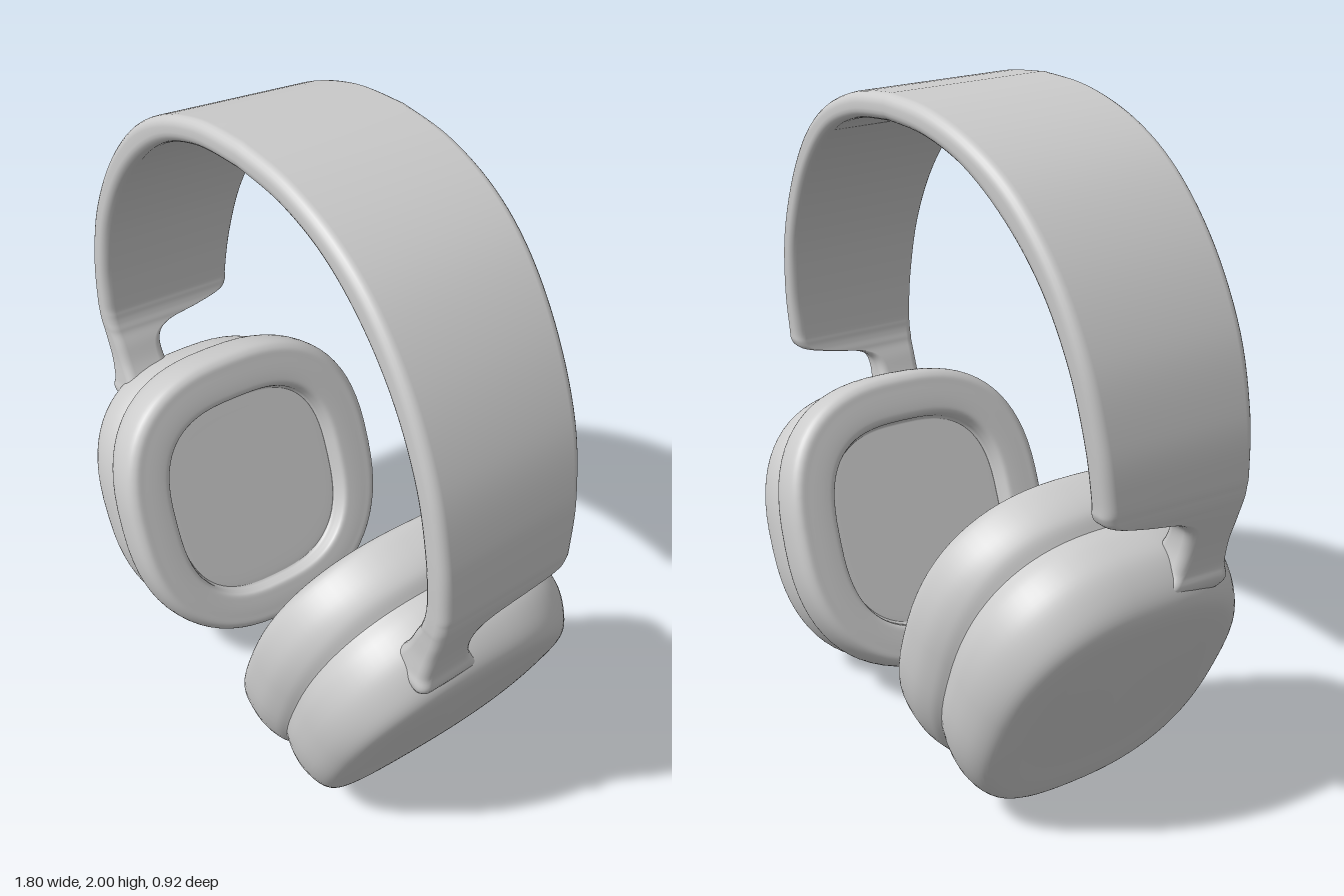
import * as THREE from 'three';

// Catmull-Rom interpolation through rows of numbers
function smoothRows(rows, steps) {
  const out = [], last = rows.length - 1;
  const row = (i) => rows[Math.min(last, Math.max(0, i))];
  for (let i = 0; i < last; i++) {
    for (let s = 0; s < steps; s++) {
      const t = s / steps;
      out.push(rows[i].map((b, k) => {
        const a = row(i - 1)[k], c = row(i + 1)[k], d = row(i + 2)[k];
        return b + 0.5 * t * (c - a + t * (2 * a - 5 * b + 4 * c - d + t * (3 * (b - c) + d - a)));
      }));
    }
  }
  out.push(rows[last]);
  return out;
}

// Skin a list of closed rings
function loft(rings, name) {
  const n = rings[0].length, index = [];
  for (let i = 0; i < rings.length - 1; i++) {
    for (let j = 0; j < n; j++) {
      const k = (j + 1) % n;
      const a = i * n + j, b = i * n + k, c = b + n, d = a + n;
      index.push(a, b, c, a, c, d);
    }
  }
  const geometry = new THREE.BufferGeometry();
  geometry.setAttribute('position', new THREE.Float32BufferAttribute(rings.flat(2), 3));
  geometry.setIndex(index);
  geometry.computeVertexNormals();
  const mesh = new THREE.Mesh(geometry, new THREE.MeshStandardMaterial({ color: 0xcccccc }));
  mesh.name = name;
  return mesh;
}

// Rings as: top x, top y, bottom x, bottom y, half width in z, squareness
const SHELL = [
  [0.687, 0.385, 0.687, 0.385, 0, 2.8],
  [0.794, 0.610, 0.580, 0.165, 0.23, 2.8],
  [0.834, 0.700, 0.532, 0.065, 0.325, 2.8],
  [0.842, 0.755, 0.498, 0.016, 0.375, 2.7],
  [0.818, 0.815, 0.455, 0.000, 0.407, 2.6],
  [0.770, 0.870, 0.405, 0.012, 0.425, 2.6],
  [0.700, 0.902, 0.367, 0.040, 0.428, 2.6],
  [0.645, 0.910, 0.335, 0.060, 0.418, 2.6],
];
const CUSHION = [
  [0.645, 0.910, 0.335, 0.060, 0.418, 2.6],
  [0.620, 0.950, 0.310, 0.053, 0.440, 2.6],
  [0.570, 0.980, 0.250, 0.065, 0.460, 2.6],
  [0.500, 1.000, 0.175, 0.100, 0.460, 2.6],
  [0.468, 0.990, 0.145, 0.130, 0.440, 2.6],
  [0.453, 0.960, 0.152, 0.165, 0.405, 2.65],
  [0.432, 0.905, 0.169, 0.210, 0.350, 2.8],
  [0.427, 0.875, 0.184, 0.236, 0.322, 2.9],
  [0.445, 0.857, 0.208, 0.232, 0.310, 2.9],
  [0.465, 0.842, 0.232, 0.229, 0.303, 2.9],
  [0.452, 0.800, 0.248, 0.270, 0.275, 2.9],
  [0.350, 0.535, 0.350, 0.535, 0, 2.9],
];

// Tilted rings, a little rounder below; side is +1 for left, -1 for right
function cupPart(rows, side, name) {
  const segments = 72;
  const bulge = (v, power) => Math.sign(v) * Math.abs(v) ** power;
  const rings = smoothRows(rows, 5).map(([xt, yt, xb, yb, w, square]) =>
    Array.from({ length: segments }, (_, j) => {
      const angle = (j / segments) * Math.PI * 2;
      const power = 2 / (Math.cos(angle) > 0 ? square : square - 0.25);
      const c = bulge(Math.cos(angle), power), s = bulge(Math.sin(angle), power);
      return [
        side * ((xt + xb) / 2 + c * (xt - xb) / 2),
        (yt + yb) / 2 + c * (yt - yb) / 2,
        -side * w * s,
      ];
    }));
  return loft(rings, name);
}

// Half band, crown to arm: outer x, outer y, inner x, inner y, front z, back z
const BAND = [
  [0, 2, 0, 1.925, 0.24, -0.30],
  [0.20, 1.982, 0.19, 1.908, 0.24, -0.297],
  [0.40, 1.92, 0.37, 1.85, 0.242, -0.287],
  [0.57, 1.815, 0.53, 1.74, 0.244, -0.270],
  [0.72, 1.65, 0.66, 1.595, 0.247, -0.252],
  [0.83, 1.45, 0.755, 1.42, 0.25, -0.237],
  [0.885, 1.25, 0.803, 1.24, 0.25, -0.22],
  [0.90, 1.10, 0.815, 1.10, 0.247, -0.205],
  [0.898, 1.055, 0.812, 1.055, 0.246, -0.20],
  [0.895, 1.03, 0.807, 1.03, 0.245, -0.175],
  [0.89, 1.01, 0.80, 1.01, 0.244, -0.09],
  [0.885, 0.99, 0.793, 0.99, 0.242, 0.02],
  [0.875, 0.955, 0.775, 0.955, 0.24, 0.075],
  [0.855, 0.89, 0.745, 0.89, 0.238, 0.085],
  [0.84, 0.82, 0.70, 0.82, 0.242, 0.07],
  [0.838, 0.765, 0.67, 0.78, 0.245, 0.04],
  [0.765, 0.69, 0.66, 0.72, 0.20, 0.06],
];

// Rounded rectangular cross-sections swept from one arm to the other
function headband() {
  const half = smoothRows(BAND, 6);
  const mirrored = half.slice(1).reverse().map(([xo, yo, xi, yi, f, b]) => [-xo, yo, -xi, yi, f, b]);
  const rings = [...mirrored, ...half].map(([xo, yo, xi, yi, front, back]) => {
    const thick = Math.hypot(xo - xi, yo - yi), r = Math.min(0.03, thick * 0.4);
    const ring = [];
    // Corners in order: outer back, outer front, inner front, inner back
    for (let corner = 0; corner < 4; corner++) {
      const h = corner < 2 ? thick - r : r;
      const zc = corner === 1 || corner === 2 ? front - r : back + r;
      for (let s = 0; s <= 5; s++) {
        const angle = Math.PI - (corner + s / 5) * Math.PI / 2;
        const u = (h + r * Math.sin(angle)) / thick;
        const z = zc + r * Math.cos(angle);
        // The arch narrows slightly towards the back
        const narrow = 1 + 0.05 * (z - 0.24);
        ring.push([(xi + (xo - xi) * u) * narrow, 1 + (yi + (yo - yi) * u - 1) * narrow, z]);
      }
    }
    return ring;
  });
  return loft(rings, 'headband');
}

export function createModel() {
  const model = new THREE.Group();
  model.name = 'headphones';
  model.add(headband());
  for (const side of [1, -1]) {
    const cup = new THREE.Group();
    cup.name = side > 0 ? 'leftEarCup' : 'rightEarCup';
    cup.add(cupPart(SHELL, side, 'shell'), cupPart(CUSHION, side, 'cushion'));
    model.add(cup);
  }
  return model;
}
